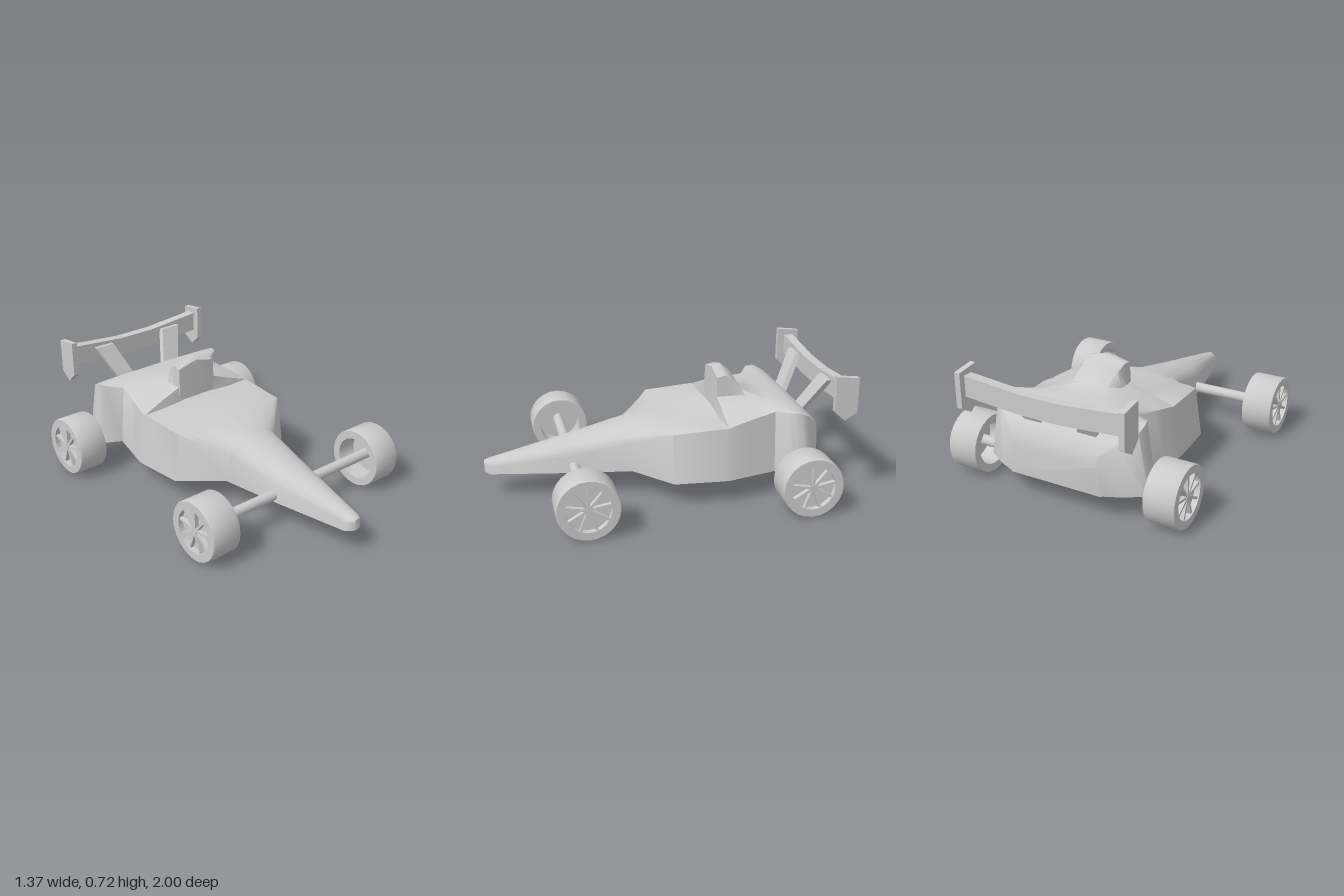
import * as THREE from 'three';
import { toCreasedNormals } from 'three/addons/utils/BufferGeometryUtils.js';

const material = new THREE.MeshStandardMaterial({ color: 0xcccccc });
const FLOOR = 0.14;

function add(parent, geometry, name) {
  const mesh = new THREE.Mesh(geometry, material);
  mesh.name = name;
  parent.add(mesh);
  return mesh;
}

// Half section with an elliptical deck: floor half width, shoulder x and y, centre height
function deck(z, wb, xe, ye, yc) {
  const pts = [[wb, FLOOR]];
  for (let i = 0; i <= 4; i++) {
    const t = (i / 4) * Math.PI / 2;
    pts.push([i === 4 ? 0 : xe * Math.cos(t), ye + (yc - ye) * Math.sin(t)]);
  }
  return { z, pts };
}

// Half section through the headrest hump
function hump(z, wb, xe, ye, ...top) {
  return { z, pts: [[wb, FLOOR], [xe, ye], ...top] };
}

// Skin mirrored half sections, running from front to back
function loft(sections) {
  const pos = [], index = [];
  const n = sections[0].pts.length * 2 - 1;
  for (const { z, pts } of sections) {
    const mirrored = pts.slice(0, -1).reverse().map(([x, y]) => [-x, y]);
    for (const [x, y] of [...pts, ...mirrored]) pos.push(x, y, z);
  }
  for (let i = 0; i < sections.length - 1; i++) {
    for (let j = 0; j < n; j++) {
      const k = (j + 1) % n;
      const a = i * n + j, b = i * n + k, c = a + n, d = b + n;
      index.push(a, c, b, b, c, d);
    }
  }
  const last = (sections.length - 1) * n;
  for (let j = 1; j < n - 1; j++) {
    index.push(0, j, j + 1);
    index.push(last, last + j + 1, last + j);
  }
  const g = new THREE.BufferGeometry();
  g.setAttribute('position', new THREE.Float32BufferAttribute(pos, 3));
  g.setIndex(index);
  return toCreasedNormals(g, 0.95);
}

function createBody() {
  return loft([
    deck(1.0, 0.02, 0.02, 0.185, 0.205),
    deck(0.97, 0.06, 0.05, 0.18, 0.212),
    deck(0.5, 0.145, 0.13, 0.235, 0.318),
    deck(0.19, 0.19, 0.17, 0.3, 0.388),
    deck(0.0, 0.41, 0.37, 0.415, 0.432),
    deck(-0.27, 0.43, 0.385, 0.43, 0.432),
    hump(-0.3, 0.43, 0.385, 0.43, [0.25, 0.432], [0.13, 0.44], [0.1, 0.445], [0, 0.445]),
    hump(-0.31, 0.43, 0.385, 0.432, [0.25, 0.48], [0.13, 0.525], [0.125, 0.635], [0, 0.665]),
    hump(-0.36, 0.418, 0.38, 0.445, [0.26, 0.49], [0.135, 0.525], [0.125, 0.645], [0, 0.68]),
    hump(-0.41, 0.405, 0.37, 0.455, [0.26, 0.495], [0.135, 0.525], [0.11, 0.61], [0, 0.64]),
    hump(-0.47, 0.39, 0.355, 0.465, [0.25, 0.505], [0.14, 0.527], [0.08, 0.54], [0, 0.545]),
    deck(-0.59, 0.36, 0.33, 0.485, 0.528),
    deck(-0.65, 0.47, 0.42, 0.505, 0.52),
    deck(-0.7, 0.48, 0.435, 0.505, 0.515),
    deck(-0.75, 0.48, 0.425, 0.48, 0.49),
    deck(-0.82, 0.37, 0.35, 0.42, 0.425),
    deck(-0.86, 0.28, 0.27, 0.355, 0.36),
    deck(-0.87, 0.27, 0.26, 0.3, 0.3),
  ]);
}

// Wheel lies along x with its outer face towards +x
function createWheel(name) {
  const wheel = new THREE.Group();
  wheel.name = name;
  const profile = [[0.122, -0.087], [0.166, -0.087], [0.17, -0.08], [0.17, 0.08],
    [0.166, 0.087], [0.122, 0.087], [0.122, -0.087]].map(([r, h]) => new THREE.Vector2(r, h));
  const tyre = toCreasedNormals(new THREE.LatheGeometry(profile, 24), 0.8).rotateZ(-Math.PI / 2);
  add(wheel, tyre, 'tyre');
  const disc = new THREE.CylinderGeometry(0.123, 0.123, 0.02, 24).rotateZ(-Math.PI / 2);
  add(wheel, disc, 'wheelDisc').position.x = 0.045;
  const hub = new THREE.CylinderGeometry(0.02, 0.02, 0.03, 12).rotateZ(-Math.PI / 2);
  add(wheel, hub, 'hub').position.x = 0.067;
  for (let i = 0; i < 9; i++) {
    const spoke = new THREE.BoxGeometry(0.026, 0.11, 0.014).translate(0, 0.068, 0);
    const mesh = add(wheel, spoke, 'spoke');
    mesh.position.x = 0.067;
    mesh.rotation.x = (i / 9) * Math.PI * 2;
  }
  return wheel;
}

function extrude(points, depth) {
  const shape = new THREE.Shape(points.map(([x, y]) => new THREE.Vector2(x, y)));
  return new THREE.ExtrudeGeometry(shape, { depth, bevelEnabled: false });
}

// Leaning support: a box whose ends are slid and widened to fit body and wing
function createStrut(side) {
  const g = new THREE.BoxGeometry(1, 1, 1);
  const p = g.attributes.position;
  for (let i = 0; i < p.count; i++) {
    const t = p.getY(i) + 0.5;
    p.setXYZ(i,
      side * (0.16 + 0.09 * t) + p.getX(i) * (0.11 + 0.015 * t),
      0.43 + 0.21 * t,
      -0.79 - 0.115 * t + p.getZ(i) * 0.035);
  }
  g.computeVertexNormals();
  return g;
}

function createRearWing() {
  const wing = new THREE.Group();
  wing.name = 'rearWing';
  const plane = extrude([[-0.46, 0.565], [-0.12, 0.54], [0.12, 0.54], [0.46, 0.565],
    [0.46, 0.68], [0.12, 0.65], [-0.12, 0.65], [-0.46, 0.68]], 0.055);
  add(wing, plane, 'wingPlane').position.z = -0.965;
  for (const side of [-1, 1]) {
    // Side outline is drawn as (-z, y) and turned to face sideways
    const plate = extrude([[0.87, 0.52], [0.93, 0.465], [1.0, 0.51], [1.0, 0.705], [0.87, 0.72]], 0.033);
    plate.translate(0, 0, -0.0165).rotateY(Math.PI / 2);
    add(wing, plate, 'endPlate').position.x = side * 0.474;
    add(wing, createStrut(side), 'wingStrut');
  }
  return wing;
}

export function createModel() {
  const car = new THREE.Group();
  car.name = 'racingCar';
  add(car, createBody(), 'body');
  car.add(createRearWing());

  // Axles and wheels
  for (const [label, z] of [['front', 0.51], ['rear', -0.7]]) {
    const axle = new THREE.CylinderGeometry(0.03, 0.03, 1.27, 16).rotateZ(Math.PI / 2);
    add(car, axle, label + 'Axle').position.set(0, 0.173, z);
    for (const side of [-1, 1]) {
      const wheel = createWheel(label + (side > 0 ? 'LeftWheel' : 'RightWheel'));
      wheel.position.set(side * 0.597, 0.17, z);
      if (side < 0) wheel.rotation.y = Math.PI;
      car.add(wheel);
    }
  }
  return car;
}
